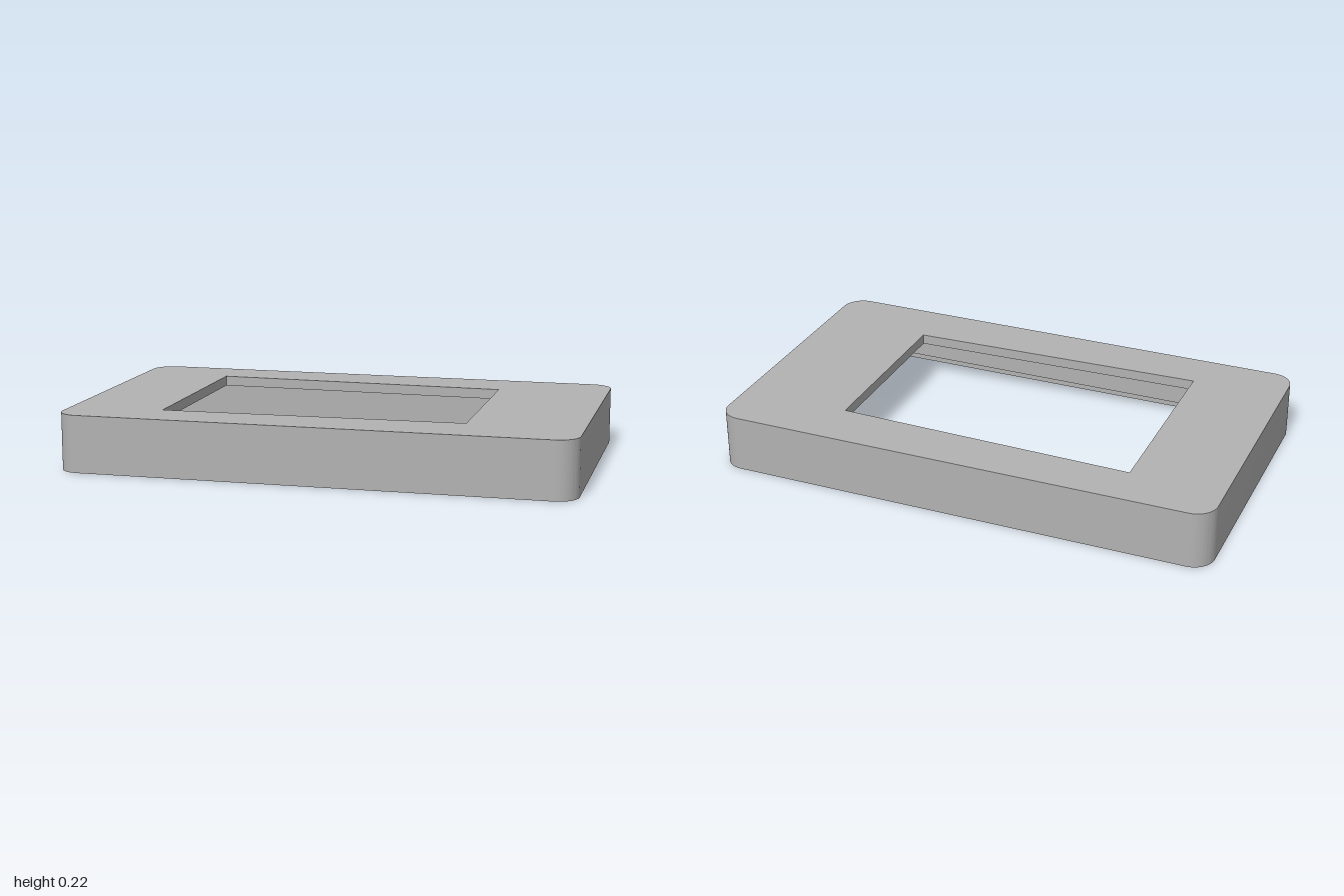
import * as THREE from 'three';
import { mergeGeometries, toCreasedNormals } from 'three/addons/utils/BufferGeometryUtils.js';

const SEG = 12;
const HEIGHT = 0.225, CEILING = 0.185, LEDGE = 0.03;

// Rounded rectangle, inset from the outer edge of the cover
function outline(inset) {
  const w = 1 - inset, d = 0.583 - inset, r = 0.085 - inset;
  const s = new THREE.Shape();
  [[1, 1], [-1, 1], [-1, -1], [1, -1]].forEach(([sx, sy], i) => {
    s.absarc(sx * (w - r), sy * (d - r), r, i * Math.PI / 2, (i + 1) * Math.PI / 2, false);
  });
  s.closePath();
  return s;
}

// Slightly tapered window
function windowOutline() {
  return new THREE.Shape([[-0.63, -0.394], [0.556, -0.363], [0.556, 0.363], [-0.63, 0.394]]
    .map(([x, y]) => new THREE.Vector2(x, y)));
}

// Vertical band following a counter-clockwise outline
function band(shape, y0, y1, inward) {
  const pts = shape.getPoints(SEG);
  if (pts[0].distanceTo(pts[pts.length - 1]) < 1e-6) pts.pop();
  const pos = [];
  pts.forEach((p, i) => {
    const q = pts[(i + 1) % pts.length];
    const [a, b] = inward ? [q, p] : [p, q];
    pos.push(a.x, y0, -a.y, b.x, y0, -b.y, b.x, y1, -b.y);
    pos.push(a.x, y0, -a.y, b.x, y1, -b.y, a.x, y1, -a.y);
  });
  const g = new THREE.BufferGeometry();
  g.setAttribute('position', new THREE.Float32BufferAttribute(pos, 3));
  g.computeVertexNormals();
  return toCreasedNormals(g, Math.PI / 6);
}

// Flat face with a hole, turned up or down
function face(shape, hole, y, up) {
  shape.holes.push(hole);
  const g = new THREE.ShapeGeometry(shape, SEG).toNonIndexed();
  g.deleteAttribute('uv');
  return g.rotateX(up ? -Math.PI / 2 : Math.PI / 2).translate(0, y, 0);
}

export function createModel() {
  const grey = new THREE.MeshStandardMaterial({ color: 0xb2b2b2 });
  grey.name = 'plain grey';
  const group = new THREE.Group();
  group.name = 'frameCover';
  const add = (name, ...parts) => {
    const mesh = new THREE.Mesh(mergeGeometries(parts), grey);
    mesh.name = name;
    group.add(mesh);
  };

  const outer = 0, lip = 0.02, inner = 0.04;

  // Top plate with the window cut through it
  add('topPlate',
    face(outline(outer), windowOutline(), HEIGHT, true),
    face(outline(inner), windowOutline(), CEILING, false),
    band(windowOutline(), CEILING, HEIGHT, true));

  // Side wall with a stepped lip inside the lower edge
  add('sideWall',
    band(outline(outer), 0, HEIGHT, false),
    face(outline(outer), outline(lip), 0, false),
    band(outline(lip), 0, LEDGE, true),
    face(outline(lip), outline(inner), LEDGE, false),
    band(outline(inner), LEDGE, CEILING, true));

  return group;
}
